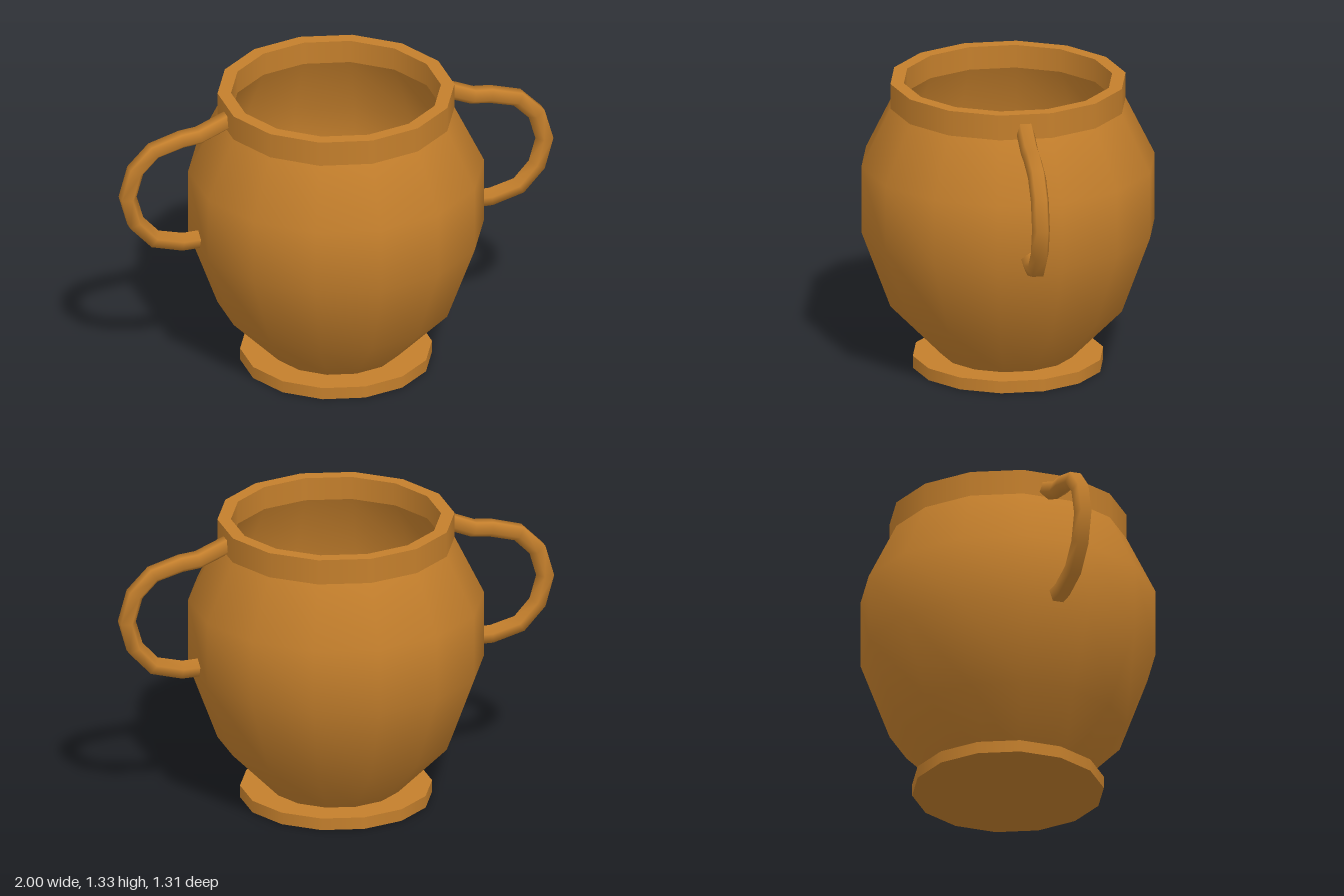
import * as THREE from 'three';

const SIDES = 14;
const material = new THREE.MeshStandardMaterial({ color: 0xc47f2c });

function add(group, name, geometry) {
  const mesh = new THREE.Mesh(geometry, material);
  mesh.name = name;
  group.add(mesh);
  return mesh;
}

// Surface of revolution from [radius, height] pairs
function lathe(profile) {
  return new THREE.LatheGeometry(profile.map(([r, y]) => new THREE.Vector2(r, y)), SIDES);
}

// Handle centre line, with one tube ring per point and the rings kept upright
class HandleCurve extends THREE.CatmullRomCurve3 {
  getPointAt(t, target) {
    return this.getPoint(t, target);
  }
  computeFrenetFrames(segments) {
    const tangents = [], normals = [], binormals = [];
    for (let i = 0; i <= segments; i++) {
      const t = this.getTangent(i / segments);
      tangents.push(t);
      normals.push(new THREE.Vector3(-t.y, t.x, 0));
      binormals.push(new THREE.Vector3(0, 0, 1));
    }
    return { tangents, normals, binormals };
  }
}

export function createModel() {
  const pot = new THREE.Group();
  pot.name = 'pot';

  // Foot disc
  add(pot, 'foot', new THREE.CylinderGeometry(0.425, 0.425, 0.055, SIDES)).position.y = 0.0275;

  // Bellied wall, outside and inside
  add(pot, 'outerWall', lathe([[0.29, 0.05], [0.525, 0.29], [0.655, 0.643], [0.655, 0.945], [0.525, 1.21]]));
  add(pot, 'innerWall', lathe([[0.465, 1.22], [0.595, 0.93], [0.595, 0.655], [0.475, 0.325], [0.25, 0.1]]));
  add(pot, 'innerFloor', lathe([[0.25, 0.1], [0, 0.1]]));

  // Upright collar with a flat lip
  add(pot, 'collarOutside', lathe([[0.525, 1.21], [0.525, 1.325]]));
  add(pot, 'lip', lathe([[0.525, 1.325], [0.465, 1.325]]));
  add(pot, 'collarInside', lathe([[0.465, 1.325], [0.465, 1.22]]));

  // Two five-sided loop handles
  const path = [
    [0.49, 1.253], [0.635, 1.193], [0.715, 1.185], [0.845, 1.148], [0.93, 1.062],
    [0.966, 0.935], [0.93, 0.808], [0.845, 0.715], [0.715, 0.68], [0.6, 0.682],
  ].map(([x, y]) => new THREE.Vector3(x, y, 0));
  const handle = new THREE.TubeGeometry(new HandleCurve(path), path.length - 1, 0.042, 5);
  add(pot, 'leftHandle', handle);
  add(pot, 'rightHandle', handle).rotation.y = Math.PI;

  return pot;
}
